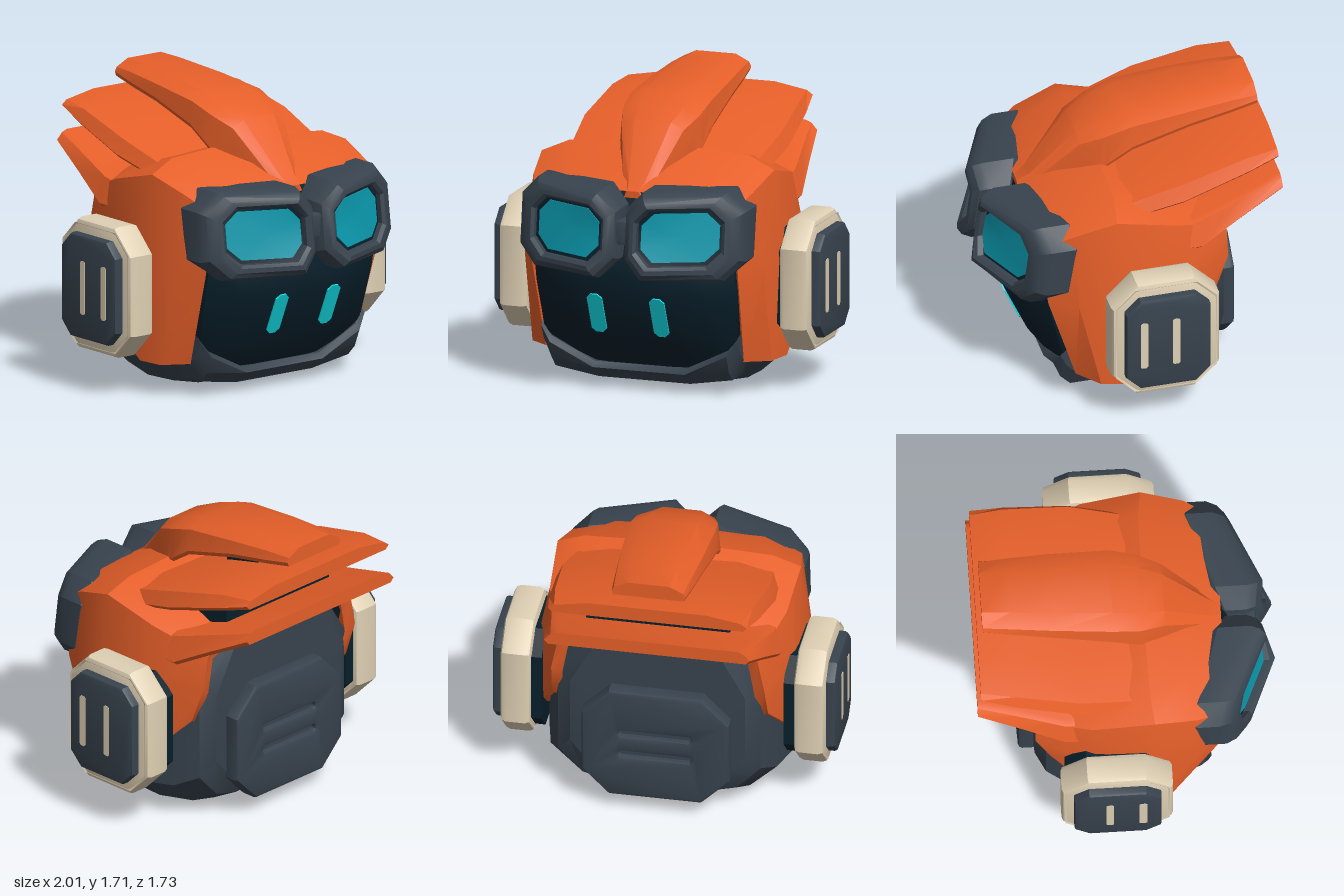
import * as THREE from 'three';
import { toCreasedNormals } from 'three/addons/utils/BufferGeometryUtils.js';

const flat = (name, color, side = THREE.FrontSide) => {
  const m = new THREE.MeshStandardMaterial({ color, side });
  m.name = name;
  return m;
};

// Skin a list of rings; closed lofts get end caps. Winding is set outward.
function loft(rings, closed = true, crease = 0.45) {
  const n = rings[0].length, pos = rings.flat(2), idx = [];
  const origin = new THREE.Vector3().fromArray(pos);
  const vertex = (i) => new THREE.Vector3().fromArray(pos, i * 3).sub(origin);
  for (let r = 0; r < rings.length - 1; r++) {
    for (let i = 0; i < (closed ? n : n - 1); i++) {
      const j = (i + 1) % n, a = r * n + i, b = r * n + j;
      idx.push(a, b, b + n, a, b + n, a + n);
    }
  }
  if (closed) {
    [0, rings.length - 1].forEach((r, end) => {
      const c = pos.length / 3;
      for (let k = 0; k < 3; k++) pos.push(rings[r].reduce((s, p) => s + p[k], 0) / n);
      for (let i = 0; i < n; i++) {
        const a = r * n + i, b = r * n + ((i + 1) % n);
        idx.push(...(end ? [a, b, c] : [b, a, c]));
      }
    });
  }
  let volume = 0;
  for (let i = 0; i < idx.length; i += 3) {
    volume += vertex(idx[i]).dot(vertex(idx[i + 1]).cross(vertex(idx[i + 2])));
  }
  if (volume < 0) idx.reverse();
  const g = new THREE.BufferGeometry();
  g.setAttribute('position', new THREE.Float32BufferAttribute(pos, 3));
  g.setIndex(idx);
  return toCreasedNormals(g, crease);
}

// Mirror a half outline across x = 0
const mirror = (half) => [...half, ...half.filter((p) => p[0] !== 0).reverse().map(([x, y, z]) => [-x, y, z])];

// Rectangle with cut corners, given as half width, half height and cut
const octPoints = (w, h, c) => [[w - c, -h], [w, c - h], [w, h - c], [w - c, h], [c - w, h], [-w, h - c], [-w, c - h], [c - w, -h]]
  .map(([x, y]) => new THREE.Vector2(x, y));

// Chamfered plate from z = 0 to z = depth
function plate([w, h, c], depth, bevel = 0, holes = []) {
  const shape = new THREE.Shape(octPoints(w, h, c));
  holes.forEach(([hw, hh, hc, y = 0]) => {
    shape.holes.push(new THREE.Path(octPoints(hw, hh, hc).map((p) => p.setY(p.y + y)).reverse()));
  });
  const g = new THREE.ExtrudeGeometry(shape, {
    depth: depth - 2 * bevel, bevelEnabled: bevel > 0, bevelThickness: bevel,
    bevelSize: bevel, bevelOffset: -bevel, bevelSegments: 2,
  });
  return toCreasedNormals(g.translate(0, 0, bevel), 0.4);
}

// Goggle surfaces: the front bends back from the nose, the rear follows the brow
const goggleFront = (x, y) => (x < 0.17 ? 0.8 + 0.28 * x : 0.848 - 0.45 * (x - 0.17)) - 0.13 * (y - 0.985);
const goggleRear = (x, y) => 0.575 - 0.31 * x - 0.16 * (y - 0.985);
const goggleRing = (side, cx, size, surface, dz) => octPoints(...size)
  .map((p) => [side * (p.x + cx), p.y + 0.988, surface(p.x + cx, p.y + 0.988) + dz]);

export function createModel() {
  const model = new THREE.Group();
  const orange = flat('orange', 0xe65f29, THREE.DoubleSide);
  const slate = flat('slate', 0x38434e);
  const navy = flat('navy', 0x071f2b);
  const beige = flat('beige', 0xdfd0b4);
  const teal = flat('lens teal', 0x0b9aae);
  const cyan = flat('eye cyan', 0x10dde6);

  const add = (name, geometry, material, parent = model, x = 0, y = 0, z = 0) => {
    const m = new THREE.Mesh(geometry, material);
    m.name = name;
    m.position.set(x, y, z);
    parent.add(m);
    return m;
  };

  // Lower head: z, half width, bottom, top
  add('lowerHead', loft([
    [0.36, 0.6, 0.07, 1.0], [0.13, 0.71, 0.01, 1.12], [-0.1, 0.71, 0, 1.15],
    [-0.33, 0.66, 0.03, 1.13], [-0.47, 0.59, 0.1, 1.12], [-0.53, 0.51, 0.2, 1.08],
  ].map(([z, w, b, t]) => mirror([
    [w * 0.5, b, z], [w * 0.76, b + 0.04, z], [w, b + 0.19, z], [w, t - 0.28, z], [w * 0.7, t, z],
  ]))), slate);

  // Curved face screen: y, half width, centre z, edge z
  add('faceScreen', loft([
    [0.12, 0.46, 0.4, 0.32], [0.3, 0.585, 0.56, 0.43], [0.62, 0.61, 0.7, 0.51],
    [0.8, 0.61, 0.71, 0.55], [1.2, 0.6, 0.555, 0.5],
  ].map(([y, w, c, e]) => mirror([
    [w, y, 0.1], [w, y, e], [w * 0.74, y, e + 0.65 * (c - e)], [w * 0.41, y, c],
  ])), true, 0.7), navy);

  // Eyes
  for (const s of [-1, 1]) {
    const eye = add('eye', plate([0.046, 0.133, 0.026], 0.009), cyan, model, s * 0.19, 0.49, 0.645);
    eye.rotation.x = 0.41;
  }

  // Chin guard: x, top, bottom, front z
  const chinHalf = [[0.6, 0.37, 0.2, 0.46], [0.54, 0.28, 0.09, 0.485], [0.28, 0.15, 0.045, 0.475]];
  add('chinGuard', loft([...chinHalf, ...chinHalf.map(([x, ...r]) => [-x, ...r]).reverse()].map(([x, t, b, z]) => [
    [x, t, z - 0.16], [x, t, z - 0.035], [x, t - 0.03, z], [x, b + 0.06, z - 0.04], [x, b, z - 0.1], [x, b, z - 0.26],
  ])), slate);

  // Hood: rows from the face opening to the back, each from lower edge to crown
  const rows = [
    [[0.605, 0.2, 0.37], [0.63, 0.75, 0.54], [0.6, 1.12, 0.56], [0.42, 1.2, 0.57], [0, 1.2, 0.57]],
    [[0.73, 0.19, 0.25], [0.73, 0.75, 0.38], [0.67, 1.21, 0.4], [0.45, 1.3, 0.36], [0, 1.32, 0.36]],
    [[0.775, 0.2, 0.12], [0.775, 0.8, 0.15], [0.71, 1.29, 0.15], [0.55, 1.36, 0.13], [0, 1.39, 0.12]],
    [[0.76, 0.4, -0.2], [0.76, 0.85, -0.2], [0.69, 1.2, -0.2], [0.5, 1.28, -0.2], [0, 1.3, -0.2]],
    [[0.63, 0.66, -0.45], [0.62, 0.88, -0.53], [0.58, 1.08, -0.53], [0.42, 1.14, -0.53], [0, 1.15, -0.53]],
  ];
  const lip = (row, dz) => row.map(([x, y, z]) => [x * 0.9, y - 0.04, z + dz]);
  const hood = [lip(rows[0], -0.1), ...rows, lip(rows[4], 0.02)]
    .map((row) => mirror([[row[0][0] - 0.12, row[0][1] + 0.03, row[0][2]], ...row]));
  add('hood', loft(hood, false, 0.5), orange);

  // Swept crest fins: z, top, bottom, half width
  const fin = (name, stations, flatTop, drop) => add(name, loft(stations.map(([z, t, b, w]) => mirror([
    [w * 0.96, b, z], [w, b + 0.025, z], [w * 0.94, t - drop, z], [w * flatTop, t, z],
  ]))), orange);
  fin('crestFin', [
    [0.57, 1.2, 1.1, 0.06], [0.5, 1.25, 1.1, 0.09], [0.24, 1.54, 1.2, 0.2], [0.1, 1.6, 1.35, 0.25],
    [-0.06, 1.655, 1.46, 0.265], [-0.4, 1.69, 1.55, 0.25], [-0.65, 1.708, 1.59, 0.23], [-0.81, 1.711, 1.62, 0.215],
  ], 0.56, 0.04);
  fin('middleFin', [
    [0.1, 1.33, 1.2, 0.6], [-0.27, 1.45, 1.3, 0.64], [-0.65, 1.545, 1.415, 0.61], [-0.84, 1.56, 1.475, 0.58],
  ], 0.6, 0.035);
  fin('lowerFin', [
    [-0.15, 1.15, 1.0, 0.69], [-0.36, 1.19, 1.0, 0.69], [-0.6, 1.265, 1.13, 0.645], [-0.86, 1.345, 1.265, 0.6],
  ], 0.88, 0.015);

  // Dark spacers between the fins
  add('lowerSpacer', new THREE.BoxGeometry(0.84, 0.2, 0.25), navy, model, 0, 1.21, -0.395);
  add('upperSpacer', new THREE.BoxGeometry(0.24, 0.14, 0.25), navy, model, 0, 1.45, -0.355);

  for (const s of [-1, 1]) {
    // Goggles
    const goggle = new THREE.Group();
    goggle.name = s > 0 ? 'leftGoggle' : 'rightGoggle';
    model.add(goggle);
    const ring = (cx, size, surface, dz) => goggleRing(s, cx, size, surface, dz);
    add('goggleFrame', loft([
      ring(0.352, [0.305, 0.225, 0.1], goggleRear, 0), ring(0.352, [0.337, 0.255, 0.11], goggleRear, 0.05),
      ring(0.352, [0.337, 0.255, 0.11], goggleFront, -0.07), ring(0.35, [0.315, 0.235, 0.105], goggleFront, -0.02),
      ring(0.347, [0.28, 0.205, 0.095], goggleFront, 0), ring(0.342, [0.25, 0.178, 0.085], goggleFront, 0),
      ring(0.34, [0.232, 0.162, 0.08], goggleFront, -0.02), ring(0.34, [0.232, 0.162, 0.08], goggleFront, -0.07),
    ]), slate, goggle);
    const pane = (name, size, dz, material) => add(name, loft([
      ring(0.34, size, goggleFront, dz - 0.008), ring(0.34, size, goggleFront, dz),
    ]), material, goggle);
    pane('goggleInner', [0.231, 0.161, 0.08], -0.055, navy);
    pane('lens', [0.21, 0.14, 0.072], -0.047, teal);

    // Ear cups
    const ear = new THREE.Group();
    ear.name = s > 0 ? 'leftEar' : 'rightEar';
    ear.position.set(s * 0.765, 0.615, -0.08);
    ear.rotation.y = s * Math.PI / 2;
    model.add(ear);
    add('earMount', plate([0.29, 0.33, 0.12], 0.07), navy, ear, 0, 0, -0.06);
    add('earRing', plate([0.32, 0.385, 0.15], 0.18, 0.035, [[0.265, 0.32, 0.095]]), beige, ear);
    add('earRim', plate([0.266, 0.321, 0.096], 0.16), navy, ear);
    add('earCap', plate([0.25, 0.305, 0.085], 0.135, 0.02), slate, ear, 0, 0, 0.1);
    for (const t of [-1, 1]) {
      add('earStripe', plate([0.022, 0.158, 0.01], 0.006), beige, ear, t * 0.095 - s * 0.05, 0, 0.232);
    }
  }
  add('goggleBridge', plate([0.06, 0.07, 0.015], 0.17, 0.012), slate, model, 0, 1.0, 0.6);

  // Back panel with two slots
  const panel = new THREE.Group();
  panel.name = 'backPanel';
  panel.position.set(0, 0.455, -0.48);
  panel.rotation.y = Math.PI;
  model.add(panel);
  add('panelCover', plate([0.43, 0.355, 0.16], 0.14, 0.025, [[0.21, 0.018, 0.012, 0.07], [0.21, 0.018, 0.012, -0.07]]), slate, panel);
  add('panelFloor', plate([0.36, 0.2, 0.05], 0.08), slate, panel, 0, 0, 0.02);

  return model;
}
